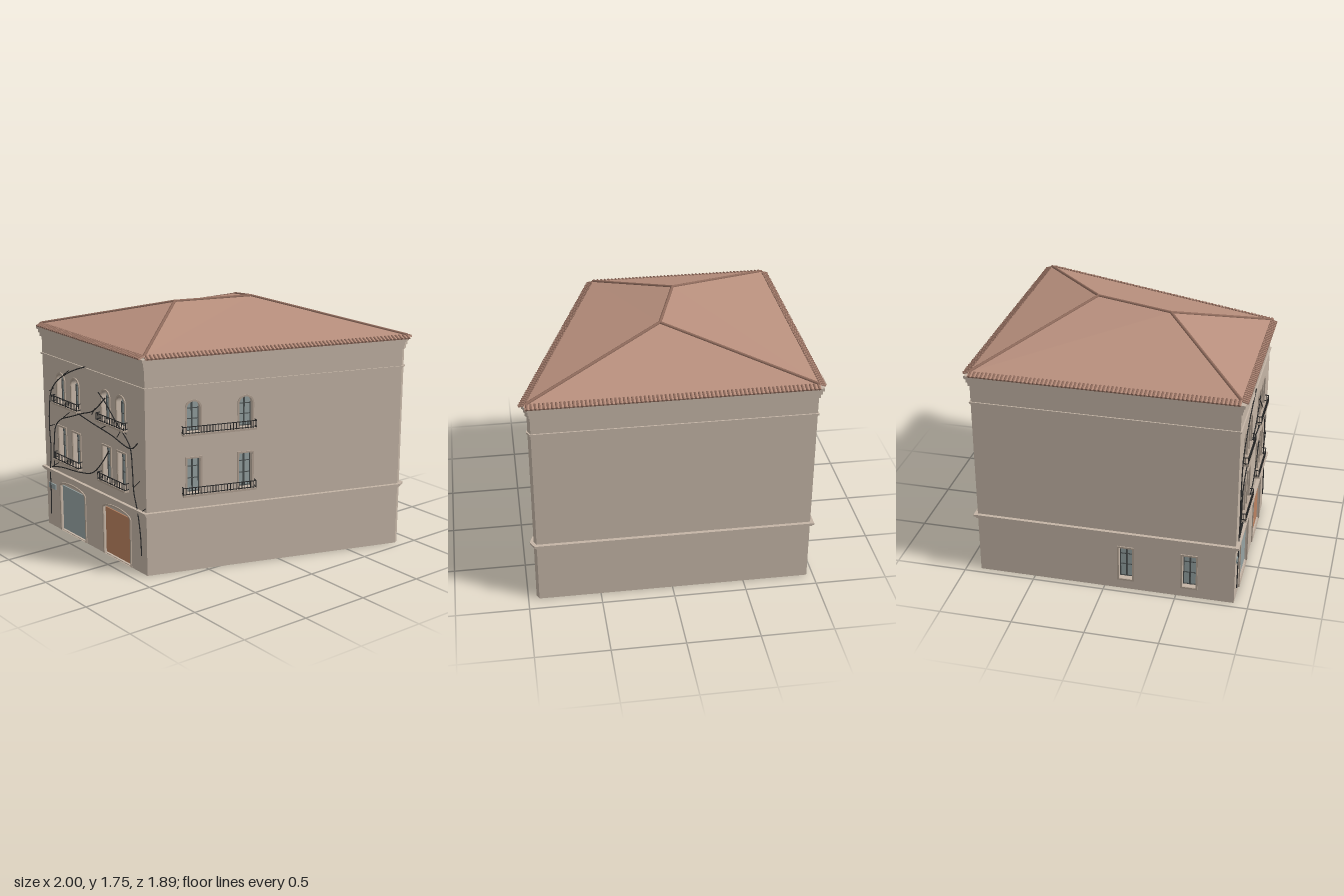
import * as THREE from 'three';
import { mergeGeometries } from 'three/addons/utils/BufferGeometryUtils.js';

const mat = (name, color, side = THREE.FrontSide) => {
  const m = new THREE.MeshStandardMaterial({ color, side });
  m.name = name;
  return m;
};

export function createModel() {
  const model = new THREE.Group();
  model.name = 'cornerTownhouse';
  const stucco = mat('stucco', 0xc4b5a6);
  const trim = mat('stoneTrim', 0xb3a394);
  const tile = mat('roofTile', 0xb88f7d);
  const cap = mat('ridgeTile', 0x8f6b5c);
  const glass = mat('blueGreyGlass', 0x96a3a3, THREE.DoubleSide);
  const rust = mat('rustDoor', 0xbb8260, THREE.DoubleSide);
  const sash = mat('darkSash', 0x4a5050);
  const iron = mat('blackIron', 0x2a2a2a);

  const add = (parent, name, geo, material, x = 0, y = 0, z = 0) => {
    const m = new THREE.Mesh(geo, material);
    m.name = name;
    m.position.set(x, y, z);
    parent.add(m);
    return m;
  };
  const box = (w, h, d, x, y, z) => new THREE.BoxGeometry(w, h, d).translate(x, y, z);
  const extrude = (shape, depth) =>
    new THREE.ExtrudeGeometry(shape, { depth, bevelEnabled: false, curveSegments: 10 });

  // Plan outline as [x, z], running front, right, chamfer, back, left
  const plan = [[-0.955, 0.9], [0.335, 0.9], [0.943, -0.86], [0.925, -0.895], [-0.955, -0.895]];
  const eaves = [[-0.955, 0.9], [0.335, 0.9], [0.955, -0.895], [-0.955, -0.895]];
  const normal = (a, b) => new THREE.Vector2(a[1] - b[1], b[0] - a[0]).normalize();
  const offset = (pts, d) => pts.map((p, i) => {
    const n1 = normal(pts[(i + pts.length - 1) % pts.length], p);
    const n2 = normal(p, pts[(i + 1) % pts.length]);
    const k = d / (1 + n1.dot(n2));
    return [p[0] + (n1.x + n2.x) * k, p[1] + (n1.y + n2.y) * k];
  });
  const slab = (name, out, y0, y1, material) => {
    const s = new THREE.Shape(offset(plan, out).map(([x, z]) => new THREE.Vector2(x, -z)));
    add(model, name, extrude(s, y1 - y0).rotateX(-Math.PI / 2), material, 0, y0, 0);
  };
  // Group whose x runs along a side and whose z points outward
  const sideGroup = (name, a, b) => {
    const g = new THREE.Group();
    g.name = name;
    g.position.set(a[0], 0, a[1]);
    g.rotation.y = Math.atan2(a[1] - b[1], b[0] - a[0]);
    model.add(g);
    return [g, Math.hypot(b[0] - a[0], b[1] - a[1])];
  };

  // Rectangle with an optional arched head
  const opening = (Type, o, grow = 0) => {
    const s = new Type(), w = o.w / 2 + grow, y0 = o.y - (o.door ? 0.01 : grow);
    const top = o.y + o.h - o.rise + (o.rise ? 0 : grow);
    s.moveTo(o.x - w, y0);
    s.lineTo(o.x + w, y0);
    s.lineTo(o.x + w, top);
    if (o.rise) s.absellipse(o.x, top, w, o.rise + grow, 0, Math.PI, false);
    else s.lineTo(o.x - w, top);
    s.closePath();
    return s;
  };

  const fillOpening = (g, o) => {
    const surround = opening(THREE.Shape, o, 0.012);
    surround.holes.push(opening(THREE.Path, o));
    add(g, 'openingSurround', extrude(surround, 0.009), trim, 0, 0, -0.001);
    if (o.door) {
      add(g, 'doorHead', new THREE.ShapeGeometry(opening(THREE.Shape, o)), stucco, 0, 0, -0.022);
      add(g, 'garageDoor', new THREE.BoxGeometry(o.w - 0.006, o.h - o.rise, 0.009),
        o.door, o.x, o.y + (o.h - o.rise) / 2, -0.016);
      return;
    }
    add(g, 'windowGlass', new THREE.ShapeGeometry(opening(THREE.Shape, o)), glass, 0, 0, -0.038);
    const side = o.h - o.rise, z = -0.035;
    const bars = [box(0.011, o.h - 0.002, 0.006, o.x, o.y + o.h / 2, z)];
    for (const s of [-1, 1])
      bars.push(box(0.006, side, 0.006, o.x + s * (o.w / 2 - 0.003), o.y + side / 2, z));
    for (const f of [0.02, 0.4, 0.74]) bars.push(box(o.w, 0.005, 0.006, o.x, o.y + o.h * f, z));
    add(g, 'windowSash', mergeGeometries(bars), sash);
  };

  const balcony = (g, x, y, w) => {
    add(g, 'balconySlab', box(w, 0.014, 0.038, x, y, 0.019), trim);
    const d = 0.034, h = 0.05, yr = y + 0.007, parts = [];
    for (const yy of [yr + 0.006, yr + h]) {
      parts.push(box(w, 0.005, 0.005, x, yy, d));
      for (const s of [-1, 1]) parts.push(box(0.005, 0.005, d, x + s * w / 2, yy, d / 2));
    }
    const n = Math.round(w / 0.021);
    for (let i = 0; i <= n; i++)
      parts.push(box(0.0035, h, 0.0035, x - w / 2 + w * i / n, yr + h / 2, d));
    for (const s of [-1, 1]) parts.push(box(0.0035, h, 0.0035, x + s * w / 2, yr + h / 2, d / 2));
    add(g, 'balconyRailing', mergeGeometries(parts), iron);
  };

  // Walls with their openings
  const lower = x => ({ x, y: 0.56, w: 0.094, h: 0.247, rise: 0 });
  const upper = x => ({ x, y: 0.99, w: 0.094, h: 0.215, rise: 0.047 });
  const door = (x, material) => ({ x, y: 0.013, w: 0.326, h: 0.372, rise: 0.035, door: material });
  const pairs = xs => xs.flatMap(x => [lower(x), upper(x)]);
  const frontXs = [-0.707, -0.517, -0.128, 0.057].map(x => x + 0.955);
  const walls = [
    ['frontWall', [...pairs(frontXs), door(0.36, glass), door(0.932, rust)], [[0.333, 0.335], [0.918, 0.335]]],
    ['rightWall', pairs([0.334, 0.704]), [[0.512, 0.52]]],
    ['chamferedCorner', [], []],
    ['backWall', [], []],
    ['leftWall', [1.045, 1.485].map(x => ({ ...lower(x), y: 0.08 })), []],
  ];
  walls.forEach(([name, openings, balconies], i) => {
    const [g, L] = sideGroup(name, plan[i], plan[(i + 1) % plan.length]);
    const s = new THREE.Shape([[0, 0], [L, 0], [L, 1.52], [0, 1.52]].map(p => new THREE.Vector2(...p)));
    openings.forEach(o => s.holes.push(opening(THREE.Path, o)));
    const depth = L < 0.1 ? 0.01 : 0.05;
    add(g, name + 'Panel', extrude(s, depth), stucco, 0, 0, -depth);
    openings.forEach(o => fillOpening(g, o));
    balconies.forEach(([x, w]) => [0.553, 0.982].forEach(y => balcony(g, x, y, w)));
  });

  // Floor, string courses and stepped cornice
  slab('floor', -0.002, 0, 0.008, stucco);
  for (const [name, out, y0, y1] of [
    ['stringCourseLower', 0.012, 0.425, 0.44], ['stringCourseUpper', 0.024, 0.44, 0.455],
    ['friezeLine', 0.009, 1.308, 1.32], ['corniceLower', 0.01, 1.44, 1.468],
    ['corniceMiddle', 0.018, 1.468, 1.495], ['corniceUpper', 0.028, 1.495, 1.517],
  ]) slab(name, out, y0, y1, stucco);

  // Hipped roof
  const [FL, FR, BR, BL] = eaves.map(([x, z]) => new THREE.Vector3(x, 1.536, z));
  const R1 = new THREE.Vector3(-0.17, 1.742, 0.28), R2 = new THREE.Vector3(0, 1.742, -0.27);
  const roof = new THREE.BufferGeometry().setFromPoints([
    FL, FR, R1, FR, BR, R2, FR, R2, R1, BR, BL, R2, BL, FL, R1, BL, R1, R2]);
  roof.computeVertexNormals();
  add(model, 'roof', roof, tile);
  for (const [a, b] of [[FL, R1], [FR, R1], [BR, R2], [BL, R2], [R1, R2]])
    add(model, 'ridgeCap', new THREE.TubeGeometry(new THREE.LineCurve3(a, b), 1, 0.011, 8), cap);

  // Eaves with a row of rounded tile ends on each side
  eaves.forEach((a, i) => {
    const [g, L] = sideGroup('eave', a, eaves[(i + 1) % 4]);
    const strip = add(g, 'eaveBoard', new THREE.BoxGeometry(L, 0.01, 0.046), tile, L / 2, 1.527, 0.019);
    strip.rotation.x = 0.3;
    const n = Math.round(L / 0.027), ends = [];
    for (let k = 0; k < n; k++)
      ends.push(new THREE.CylinderGeometry(0.008, 0.008, 0.05, 8).rotateX(Math.PI / 2 + 0.3)
        .translate((k + 0.5) * L / n, 1.53, 0.02));
    add(g, 'eaveTiles', mergeGeometries(ends), cap);
  });

  // Climbing vine on the front, in hundredths [x, y]
  const vines = [
    [[-90, 9], [-89, 25], [-89, 41], [-87, 63], [-88, 78], [-87, 92], [-84, 105], [-76, 114], [-63, 122], [-50, 128], [-36, 133]],
    [[-83, 48], [-82, 67], [-79, 80], [-71, 87], [-58, 92], [-42, 98], [-28, 103], [-12, 116]],
    [[-86, 47], [-74, 50], [-47, 53], [-31, 57], [-20, 66], [-9, 79]],
    [[28, 13], [27, 28], [24, 44], [20, 57], [19, 71], [17, 87], [13, 92], [1, 101], [-12, 112], [-21, 118]],
    [[-51, 97], [-31, 94], [-7, 91], [18, 87], [26, 93]],
    [[-88, 78], [-80, 81]], [[-86, 105], [-79, 109]], [[-66, 121], [-58, 126]], [[20, 60], [28, 67]],
    [[30, 46], [34, 49]], [[1, 91], [7, 97], [13, 96]], [[-18, 93], [-12, 96]],
    [[-68, 89], [-59, 95]], [[-30, 100], [-25, 106]], [[-86, 47], [-76, 53]],
  ];
  for (const pts of vines) {
    const curve = new THREE.CatmullRomCurve3(pts.map(([x, y]) => new THREE.Vector3(x / 100, y / 100, 0.908)));
    const r = pts.length > 3 ? 0.0042 : 0.003;
    add(model, 'vine', new THREE.TubeGeometry(curve, pts.length * 4, r, 5), iron);
  }

  // Small wall plate beside the garage
  add(model, 'wallPlate', new THREE.BoxGeometry(0.09, 0.04, 0.008), glass, -0.872, 0.317, 0.904);
  return model;
}
